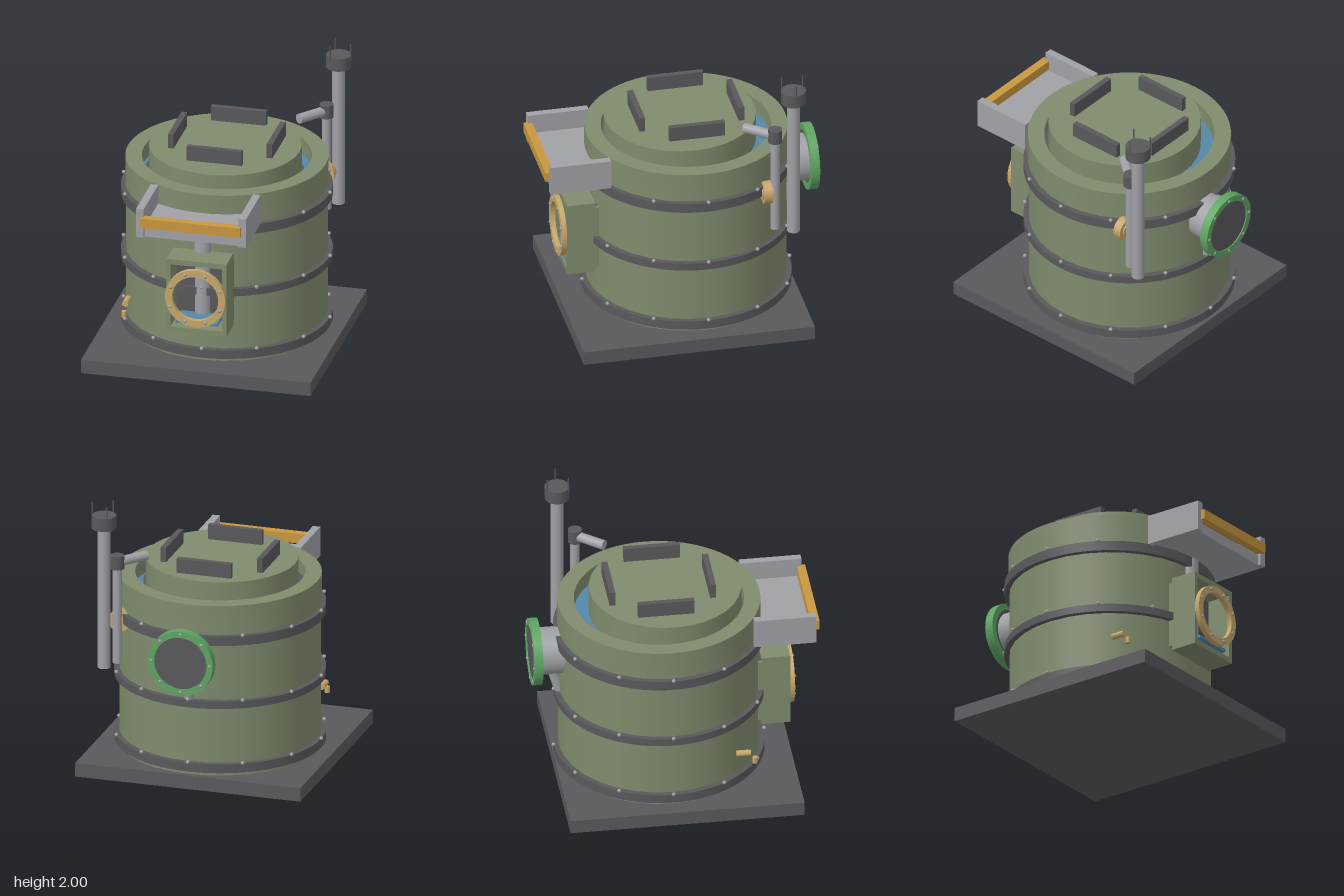
import * as THREE from 'three';
import { toCreasedNormals } from 'three/addons/utils/BufferGeometryUtils.js';

const paint = (name, color) => Object.assign(new THREE.MeshStandardMaterial({ color }), { name });

export function createModel() {
  const green = paint('tank green', 0x7f8b6d);
  const dark = paint('dark steel', 0x59595c);
  const grey = paint('light steel', 0xa0a1a6);
  const brass = paint('brass', 0xc6a669);
  const amber = paint('amber', 0xc9973f);
  const portGreen = paint('port green', 0x5fa463);
  const water = paint('water blue', 0x5489a8);
  const model = new THREE.Group();
  const CZ = -0.085; // tank axis

  const add = (name, geo, mat, x = 0, y = 0, z = 0, parent = model) => {
    const m = new THREE.Mesh(geo, mat);
    m.name = name;
    m.position.set(x, y, z);
    parent.add(m);
    return m;
  };
  // box from its minimum and maximum corners
  const box = (name, mat, x0, x1, y0, y1, z0, z1) =>
    add(name, new THREE.BoxGeometry(x1 - x0, y1 - y0, z1 - z0), mat,
      (x0 + x1) / 2, (y0 + y1) / 2, (z0 + z1) / 2);
  // upright cylinder between two heights
  const post = (name, mat, r, x, z, y0, y1, seg = 20) =>
    add(name, new THREE.CylinderGeometry(r, r, y1 - y0, seg), mat, x, (y0 + y1) / 2, z);
  // cylinder between any two points
  const rod = (name, mat, r, a, b, seg = 20) => {
    const p = new THREE.Vector3(...a), q = new THREE.Vector3(...b);
    const m = add(name, new THREE.CylinderGeometry(r, r, p.distanceTo(q), seg), mat);
    m.position.copy(p).lerp(q, 0.5);
    m.quaternion.setFromUnitVectors(new THREE.Vector3(0, 1, 0), q.sub(p).normalize());
    return m;
  };
  // flat ring extruded along +z
  const ringGeo = (r, hole, depth) => {
    const s = new THREE.Shape().absarc(0, 0, r, 0, Math.PI * 2);
    s.holes.push(new THREE.Path().absarc(0, 0, hole, 0, Math.PI * 2, true));
    return toCreasedNormals(
      new THREE.ExtrudeGeometry(s, { depth, bevelEnabled: false, curveSegments: 32 }), 0.6);
  };
  const upRing = (name, mat, r, hole, y0, y1) => {
    const m = add(name, ringGeo(r, hole, y1 - y0), mat, 0, y0, CZ);
    m.rotation.x = -Math.PI / 2;
    return m;
  };

  // base slab and tank
  box('base', dark, -0.82, 0.82, 0, 0.1, -0.82, 0.82);
  post('tankBody', green, 0.7, 0, CZ, 0.1, 1.16, 32);
  upRing('tankCollar', green, 0.705, 0.59, 1.155, 1.355);
  post('water', water, 0.59, 0, CZ, 1.17, 1.24, 32);
  post('innerTray', dark, 0.56, 0, 0, 1.23, 1.26, 32);

  // reinforcing bands with bolts along the upper edge
  const boltGeo = new THREE.SphereGeometry(0.014, 8, 6);
  for (const [y0, y1] of [[0.13, 0.195], [0.605, 0.66], [1.07, 1.14]]) {
    upRing('band', dark, 0.735, 0.69, y0, y1);
    for (let i = 0; i < 12; i++) {
      const a = i * Math.PI / 6;
      add('bandBolt', boltGeo, grey, Math.cos(a) * 0.737, y1 + 0.005, CZ + Math.sin(a) * 0.737);
    }
  }

  // lid with four grips
  post('lid', green, 0.53, 0, -0.042, 1.25, 1.45, 32);
  for (const s of [-1, 1]) {
    const z = CZ + s * 0.352, x = s * 0.352;
    box('lidGrip', dark, -0.197, 0.197, 1.45, 1.555, z - 0.02, z + 0.02);
    box('lidGrip', dark, x - 0.02, x + 0.02, 1.45, 1.555, CZ - 0.197, CZ + 0.197);
  }

  // front chute
  box('chuteFloor', grey, -0.34, 0.34, 1.14, 1.215, 0.53, 0.94);
  for (const s of [-1, 1])
    box('chuteSide', grey, s * 0.365 - 0.027, s * 0.365 + 0.027, 1.14, 1.355, 0.53, 0.962);
  box('chuteLip', amber, -0.357, 0.357, 1.225, 1.295, 0.93, 0.99);
  post('drainPipe', grey, 0.06, 0, 0.6, 0.42, 1.15);

  // sight box with round window frame
  box('sightBack', dark, -0.19, 0.19, 0.4, 0.9, 0.56, 0.625);
  box('sightTop', green, -0.215, 0.215, 0.887, 0.925, 0.605, 0.805);
  box('sightBottom', green, -0.215, 0.215, 0.377, 0.415, 0.605, 0.805);
  for (const s of [-1, 1])
    box('sightSide', green, s * 0.2 - 0.015, s * 0.2 + 0.015, 0.41, 0.89, 0.58, 0.805);
  box('sightWater', water, -0.15, 0.15, 0.445, 0.465, 0.62, 0.8);
  add('windowRing', ringGeo(0.215, 0.165, 0.035), brass, 0, 0.657, 0.805);
  for (let i = 0; i < 8; i++) {
    const a = (i + 0.5) * Math.PI / 4;
    add('windowBolt', boltGeo, grey, Math.cos(a) * 0.19, 0.657 + Math.sin(a) * 0.19, 0.837);
  }

  // small tap
  rod('tapStem', brass, 0.022, [-0.59, 0.4, 0.375], [-0.59, 0.4, 0.475], 12);
  post('tapSpout', brass, 0.019, -0.59, 0.505, 0.315, 0.36, 12);

  // rear port with flange, cover and brace
  const py = 0.987;
  rod('portNeck', grey, 0.165, [0, py, -0.72], [0, py, -0.93], 32);
  add('portFlange', ringGeo(0.235, 0.19, 0.063), portGreen, 0, py, -0.988);
  rod('portCover', dark, 0.192, [0, py, -0.93], [0, py, -0.98], 32);
  for (let i = 0; i < 8; i++) {
    const a = i * Math.PI / 4;
    add('portBolt', boltGeo, grey, Math.cos(a) * 0.212, py + Math.sin(a) * 0.212, -0.982);
  }
  rod('portBrace', grey, 0.035, [0, 0.88, -0.85], [0, 0.65, -0.78], 16);

  // tall stack with cap and prongs
  const sx = 0.645, sz = -0.707;
  post('stack', grey, 0.045, sx, sz, 0.79, 1.83);
  post('stackCap', dark, 0.087, sx, sz, 1.82, 1.915, 24);
  for (let i = 0; i < 3; i++) {
    const a = i * Math.PI * 2 / 3;
    post('stackProng', dark, 0.005, sx + Math.cos(a) * 0.086, sz + Math.sin(a) * 0.086, 1.88, 2, 8);
  }

  // feed pipe with elbow, outlet and valve
  post('feedPipe', grey, 0.033, 0.587, -0.59, 0.79, 1.5);
  post('feedElbow', dark, 0.049, 0.587, -0.59, 1.485, 1.583);
  rod('feedOutlet', grey, 0.035, [0.587, 1.533, -0.59], [0.435, 1.533, -0.405]);
  rod('valveWheel', brass, 0.08, [0.585, 1.085, -0.5], [0.585, 1.085, -0.56], 24);
  rod('valveHub', brass, 0.05, [0.585, 1.085, -0.49], [0.585, 1.085, -0.57], 20);

  return model;
}
